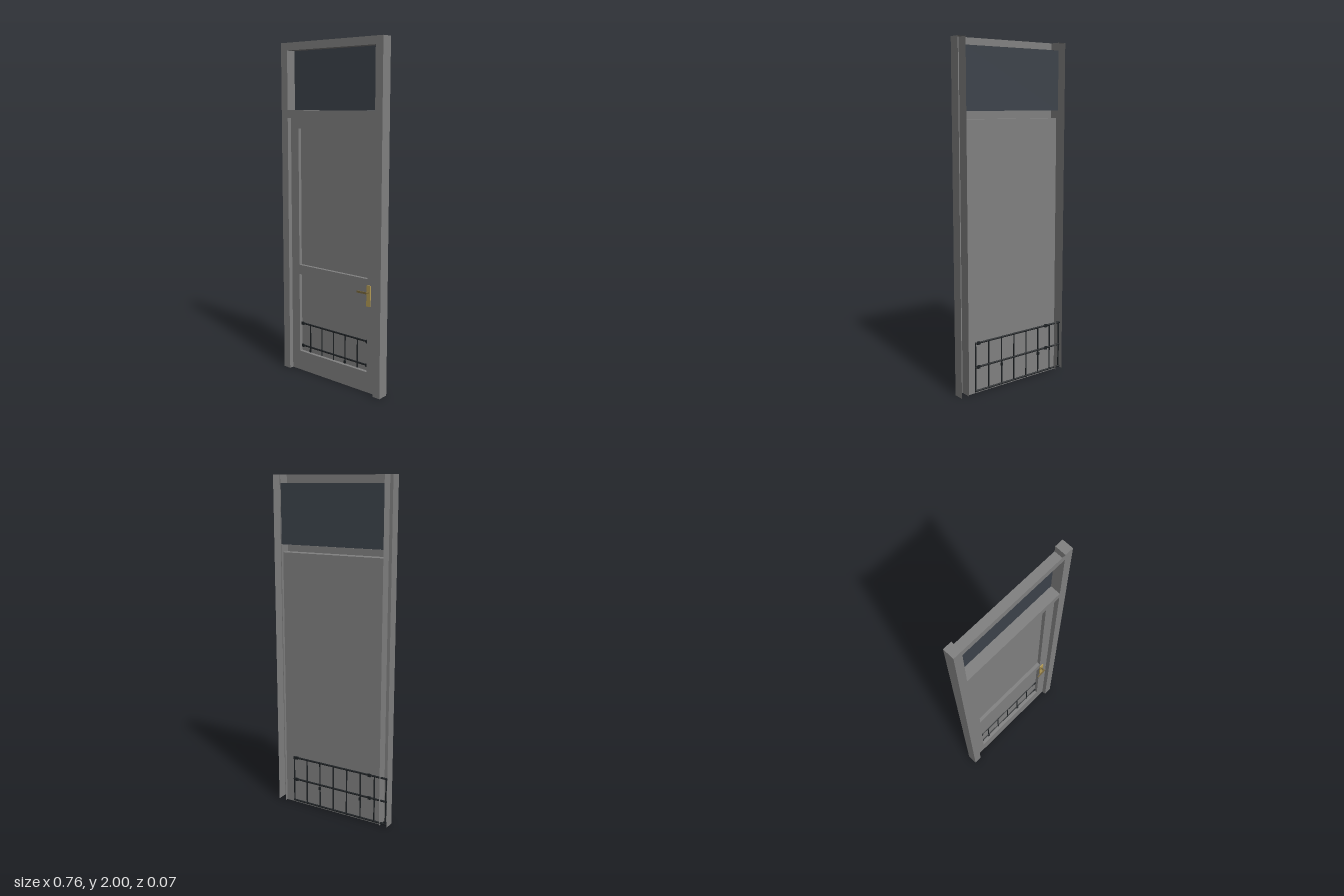
import * as THREE from 'three';

const mat = (name, color) => {
  const m = new THREE.MeshStandardMaterial({ color, side: THREE.DoubleSide });
  m.name = name;
  return m;
};

export function createModel() {
  const grey = mat('greyPaint', 0x808080);
  const glass = mat('darkGlass', 0x3c424a);
  const iron = mat('blackIron', 0x1d2124);
  const brass = mat('brass', 0xb59c55);
  const bronze = mat('agedBrass', 0x75653a);

  const root = new THREE.Group();
  root.name = 'door';
  const group = (name) => {
    const g = new THREE.Group();
    g.name = name;
    root.add(g);
    return g;
  };
  const add = (parent, name, geo, material, x, y, z) => {
    const m = new THREE.Mesh(geo, material);
    m.name = name;
    m.position.set(x, y, z);
    parent.add(m);
    return m;
  };
  const box = (parent, name, material, w, h, d, x, y, z) =>
    add(parent, name, new THREE.BoxGeometry(w, h, d), material, x, y, z);

  const FRONT = 0.027, BACK = -0.038, DEPTH = FRONT - BACK, MID = (FRONT + BACK) / 2;
  const IN = 0.33, OUT = 0.38;      // inner and outer edges of the posts
  const PANEL = -0.021;             // plane of the recessed door sheet

  // Sheets facing the front, the side and the top
  const facing = (p, name, m, w, h, x, y, z) =>
    add(p, name, new THREE.PlaneGeometry(w, h), m, x, y, z);
  const upright = (p, name, h, x, y) =>
    add(p, name, new THREE.PlaneGeometry(DEPTH, h).rotateY(Math.PI / 2), grey, x, y, MID);
  const level = (p, name, w, x, y) =>
    add(p, name, new THREE.PlaneGeometry(w, DEPTH).rotateX(-Math.PI / 2), grey, x, y, MID);

  // Posts: folded channels, open at the back and capped on top
  for (const s of [-1, 1]) {
    const post = group(s > 0 ? 'leftPost' : 'rightPost');
    const x = s * (IN + OUT) / 2;
    facing(post, 'postFront', grey, OUT - IN, 2, x, 1, FRONT);
    upright(post, 'postInnerSide', 2, s * IN, 1);
    upright(post, 'postOuterSide', 2, s * OUT, 1);
    level(post, 'postCap', OUT - IN, x, 2);
  }

  // Top rail and transom, also folded and open at the back
  const topRail = group('topRail');
  facing(topRail, 'railFront', grey, 2 * IN, 0.045, 0, 1.9775, FRONT);
  level(topRail, 'railSoffit', 2 * IN, 0, 1.955);

  const transom = group('transom');
  facing(transom, 'transomFront', grey, 2 * IN, 0.045, 0, 1.5875, FRONT);
  level(transom, 'transomSill', 2 * IN, 0, 1.61);
  level(transom, 'transomSoffit', 2 * IN, 0, 1.565);

  // Window above the door
  facing(root, 'transomWindow', glass, 2 * IN, 0.345, 0, 1.7825, -0.035);

  // Door leaf: stiles and rails around two recessed panels
  const leaf = group('doorLeaf');
  const rect = (Type, x0, y0, x1, y1) => {
    const r = new Type();
    r.moveTo(x0, y0).lineTo(x1, y0).lineTo(x1, y1).lineTo(x0, y1).closePath();
    return r;
  };
  const outline = rect(THREE.Shape, -IN, 0, IN, 1.565);
  outline.holes.push(
    rect(THREE.Path, -0.268, 0.122, 0.265, 0.615),
    rect(THREE.Path, -0.268, 0.673, 0.265, 1.503)
  );
  add(leaf, 'stilesAndRails',
    new THREE.ExtrudeGeometry(outline, { depth: 0.021, bevelEnabled: false }), grey, 0, 0, PANEL);
  facing(leaf, 'recessedPanels', grey, 2 * IN, 1.565, 0, 0.7825, PANEL);

  // Iron grille, standing slightly proud on both sides of the panel sheet
  const grille = group('grille');
  const GX0 = -0.373, GX1 = 0.276, GZ = -0.022;
  for (const y of [0.012, 0.155, 0.298]) {
    const rail = add(grille, 'grilleRail',
      new THREE.CylinderGeometry(0.006, 0.006, GX1 - GX0, 8).rotateZ(Math.PI / 2),
      iron, (GX0 + GX1) / 2, y, GZ);
    rail.scale.z = 1.1;
  }
  for (let i = 0; i < 8; i++) {
    const x = i === 0 ? -0.365 : -0.289 + (i - 1) * 0.0935;
    add(grille, 'grilleBar', new THREE.CylinderGeometry(0.0045, 0.0045, 0.298, 8),
      iron, x, 0.155, GZ);
  }
  // Collars at the ends of the rails and feet below
  for (const y of [0.155, 0.298])
    for (const x of [-0.257, 0.253])
      box(grille, 'grilleCollar', iron, 0.018, 0.018, 0.018, x, y, GZ);
  for (const x of [-0.195, 0.086])
    box(grille, 'grilleFoot', iron, 0.014, 0.016, 0.016, x, 0.133, GZ);

  // Handle: backplate, spindle and slightly angled lever
  const handle = group('handle');
  box(handle, 'backplate', brass, 0.026, 0.122, 0.008, 0.278, 0.577, 0.004);
  add(handle, 'spindle', new THREE.CylinderGeometry(0.006, 0.006, 0.028, 12).rotateX(Math.PI / 2),
    bronze, 0.277, 0.6, 0.018);
  const lever = box(handle, 'lever', bronze, 0.068, 0.011, 0.006, 0.249, 0.6, 0.032);
  lever.rotation.y = 0.05;

  return root;
}
